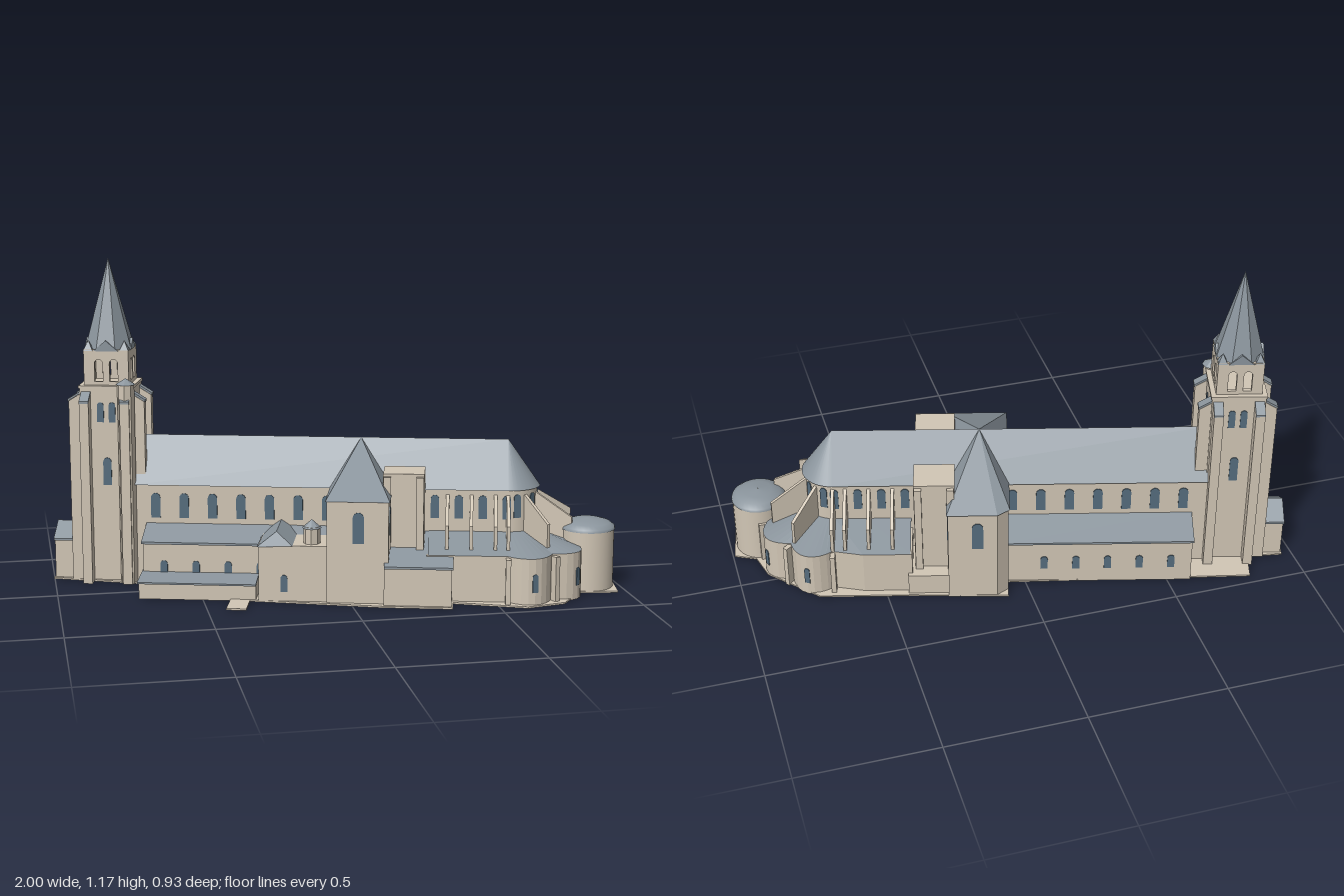
import * as THREE from 'three';
import { ConvexGeometry } from 'three/addons/geometries/ConvexGeometry.js';

const mat = (color) => new THREE.MeshStandardMaterial({ color, flatShading: true, side: THREE.DoubleSide });
const smooth = (color) => new THREE.MeshStandardMaterial({ color, side: THREE.DoubleSide });

export function createModel() {
  const model = new THREE.Group();
  model.name = 'church';
  // The church axis is turned in plan: local x runs east, local z runs south
  const church = new THREE.Group();
  church.name = 'churchBody';
  church.position.set(0.1, 0, -0.015);
  church.rotation.y = -Math.PI / 12;
  model.add(church);

  const stone = mat(0xd2c7b6), slate = mat(0x8b959d), glass = mat(0x566d7e);
  const roundStone = smooth(0xd2c7b6), roundSlate = smooth(0x8b959d);

  const add = (name, geo, material, x = 0, y = 0, z = 0, ry = 0) => {
    const m = new THREE.Mesh(geo, material);
    m.name = name;
    m.position.set(x, y, z);
    m.rotation.y = ry;
    church.add(m);
    return m;
  };
  const box = (name, x0, x1, y0, y1, z0, z1, material = stone) =>
    add(name, new THREE.BoxGeometry(x1 - x0, y1 - y0, z1 - z0), material, (x0 + x1) / 2, (y0 + y1) / 2, (z0 + z1) / 2);
  const hull = (name, pts, material = slate, x = 0, y = 0, z = 0, ry = 0) =>
    add(name, new ConvexGeometry(pts.map((p) => new THREE.Vector3(...p))), material, x, y, z, ry);
  // Profile of [z, y] points run along x
  const along = (name, profile, x0, x1, material) => {
    const s = new THREE.Shape(profile.map(([z, y]) => new THREE.Vector2(-z, y)));
    const g = new THREE.ExtrudeGeometry(s, { depth: x1 - x0, bevelEnabled: false });
    add(name, g.rotateY(Math.PI / 2), material, x0);
  };
  const archPath = (p, x, y, w, h) => {
    p.moveTo(x - w / 2, y);
    p.lineTo(x + w / 2, y);
    p.lineTo(x + w / 2, y + h - w / 2);
    p.absarc(x, y + h - w / 2, w / 2, 0, Math.PI, false);
    p.lineTo(x - w / 2, y);
    return p;
  };
  // Arched window; ry 0 faces south, PI/2 east
  const arch = (name, x, y, z, w, h, ry) => add(name, new THREE.ExtrudeGeometry(
    archPath(new THREE.Shape(), 0, 0, w, h), { depth: 0.003, bevelEnabled: false, curveSegments: 4 }), glass, x, y, z, ry);
  // Surface through rings of points
  const loft = (name, rings, material) => {
    const n = rings[0].length, idx = [];
    for (let r = 0; r < rings.length - 1; r++)
      for (let i = 0; i < n - 1; i++) {
        const a = r * n + i, b = a + n;
        idx.push(a, b, a + 1, a + 1, b, b + 1);
      }
    const g = new THREE.BufferGeometry();
    g.setAttribute('position', new THREE.Float32BufferAttribute(rings.flat(2), 3));
    g.setIndex(idx);
    g.computeVertexNormals();
    add(name, g, material);
  };

  // Ground plate
  const plan = [[-1.12, -0.08], [-0.99, -0.09], [-0.986, -0.203], [-0.1, -0.22], [-0.1, -0.3], [0.25, -0.29],
    [0.58, -0.29], [0.78, -0.16], [0.83, -0.07], [0.912, -0.053], [0.926, 0.114], [0.79, 0.13], [0.73, 0.27], [0.6, 0.335],
    [0.34, 0.3], [0.34, 0.365], [0.1, 0.365], [-0.37, 0.32], [-0.37, 0.43], [-0.44, 0.43], [-0.44, 0.31],
    [-0.765, 0.31], [-0.77, 0.13], [-1.12, 0.08]];
  const plate = new THREE.ExtrudeGeometry(new THREE.Shape(plan.map(([x, z]) => new THREE.Vector2(x, -z))),
    { depth: 0.006, bevelEnabled: false });
  add('groundPlate', plate.rotateX(-Math.PI / 2), stone);

  // Nave and choir
  box('naveAndChoirWalls', -0.83, 0.53, 0, 0.37, -0.105, 0.105);
  along('mainRoof', [[-0.115, 0.365], [0.115, 0.365], [0, 0.53]], -0.82, 0.53, slate);
  for (const s of [-1, 1]) {
    const ry = s > 0 ? 0 : Math.PI;
    for (let i = 0; i < 7; i++) arch('naveWindow', -0.735 + i * 0.103, 0.245, s * 0.105, 0.034, 0.09, ry);
    for (let i = 0; i < 4; i++) arch('choirWindow', 0.27 + i * 0.085, 0.26, s * 0.105, 0.03, 0.085, ry);
    // Side aisles
    along('aisleWalls', [[s * 0.1, 0], [s * 0.215, 0], [s * 0.215, 0.18], [s * 0.1, 0.22]], -0.765, -0.09, stone);
    along('aisleRoof', [[s * 0.1, 0.215], [s * 0.225, 0.175], [s * 0.225, 0.183], [s * 0.1, 0.226]], -0.77, -0.09, slate);
    for (let i = 0; i < 5; i++) arch('aisleWindow', -0.69 + i * 0.115, 0.06, s * 0.215, 0.026, 0.055, ry);
    // Transept arms with half pyramid roofs meeting at the crossing
    const e = s > 0 ? 0.335 : 0.295, c = s > 0 ? -0.1 : -0.06;
    hull('transeptWalls', [0, 0.37].flatMap((y) => [[-0.1, y, 0], [0.115, y, 0], [0.115, y, s * e], [c, y, s * e], [-0.1, y, s * (s > 0 ? e : 0.262)]]), stone);
    hull('transeptRoof', [[0, 0.53, 0], [-0.105, 0.368, 0], [0.12, 0.368, 0], [0.12, 0.368, s * (e + 0.005)],
      [c, 0.368, s * (e + 0.005)], [-0.105, 0.368, s * (s > 0 ? 0.34 : 0.267)]]);
    arch('transeptWindow', 0.01, 0.22, s * e, 0.04, 0.11, ry);
    arch('transeptSideWindow', 0.115, 0.235, s * 0.255, 0.03, 0.1, Math.PI / 2);
    // Choir towers
    box('choirTower', 0.09, 0.235, 0, 0.445, s * 0.16 - 0.065, s * 0.16 + 0.065);
    for (const x of [0.105, 0.22]) box('choirTowerStrip', x - 0.013, x + 0.013, 0, 0.435, s * 0.232 - 0.01, s * 0.232 + 0.01);
  }

  // Southern annexes
  along('lowAnnex', [[0.2, 0], [0.315, 0], [0.315, 0.055], [0.2, 0.068]], -0.765, -0.35, stone);
  along('lowAnnexRoof', [[0.2, 0.068], [0.32, 0.055], [0.32, 0.061], [0.2, 0.075]], -0.77, -0.35, slate);
  box('chapelWalls', -0.34, -0.1, 0, 0.205, 0.1, 0.325);
  hull('chapelRoof', [[-0.345, 0.2, 0.1], [-0.345, 0.2, 0.33], [-0.22, 0.205, 0.33], [-0.22, 0.205, 0.1], [-0.28, 0.245, 0.28], [-0.28, 0.245, 0.1]]);
  arch('chapelWindow', -0.25, 0.04, 0.325, 0.024, 0.06, 0);
  add('stairTurret', new THREE.CylinderGeometry(0.03, 0.03, 0.265, 8), stone, -0.156, 0.1325, 0.275);
  add('stairTurretRoof', new THREE.ConeGeometry(0.035, 0.03, 8), slate, -0.156, 0.275, 0.275);
  along('choirAnnex', [[0.1, 0], [0.355, 0], [0.355, 0.14], [0.1, 0.205]], 0.1, 0.335, stone);
  along('choirAnnexRoof', [[0.1, 0.205], [0.362, 0.138], [0.362, 0.146], [0.1, 0.213]], 0.1, 0.34, slate);
  box('northTerrace', 0.11, 0.26, 0, 0.085, -0.28, -0.1);

  // Apse
  add('apseWall', new THREE.CylinderGeometry(0.105, 0.105, 0.37, 20, 1, false, 0, Math.PI), roundStone, 0.53, 0.185, 0);
  add('apseRoof', new THREE.ConeGeometry(0.115, 0.165, 20, 1, false, 0, Math.PI), roundSlate, 0.53, 0.4475, 0);

  // Ambulatory: straight sides and a ring of shallow rounded chapels
  const cz = 0.022, outer = [], inner = [];
  const point = (x, z, ix, iz) => { outer.push([x, z]); inner.push([ix, iz]); };
  point(0.25, cz + 0.262, 0.25, 0.1);
  point(0.42, cz + 0.262, 0.42, 0.1);
  const N = 40;
  for (let i = 0; i <= N; i++) {
    const a = Math.PI / 2 - (i / N) * Math.PI;
    const r = 0.262 + 0.042 * Math.abs(Math.sin((i / N) * Math.PI * 5));
    point(0.53 + r * Math.cos(a), cz + r * Math.sin(a), 0.53 + 0.1 * Math.cos(a), 0.1 * Math.sin(a));
  }
  point(0.42, cz - 0.285, 0.42, -0.1);
  point(0.25, cz - 0.285, 0.25, -0.1);
  const ring = (pts, y) => pts.map(([x, z]) => [x, y, z]);
  loft('ambulatoryWall', [ring(outer, 0), ring(outer, 0.17)], stone);
  loft('ambulatoryRoof', [ring(outer, 0.17), ring(inner, 0.215)], slate);
  box('ambulatoryEndWall', 0.245, 0.255, 0, 0.17, cz - 0.285, cz + 0.262);

  // Flying buttresses, straight then radial
  const fin = (x, z, ry) => hull('flyingButtress', [-0.006, 0.006].flatMap((t) => [
    [t, 0.17, 0.1], [t, 0.35, 0.1], [t, 0.265, 0.24], [t, 0.17, 0.24]]), stone, x, 0, z, ry);
  for (const s of [0, Math.PI]) for (const x of [0.315, 0.4, 0.485]) fin(x, 0, s);
  for (let i = 0; i < 6; i++) {
    const a = (i / 5) * Math.PI;
    fin(0.53, 0, a);
    // Pier at the joint between chapels
    add('chapelPier', new THREE.BoxGeometry(0.018, 0.165, 0.04), stone,
      0.53 + 0.275 * Math.sin(a), 0.0825, cz + 0.275 * Math.cos(a), a);
    if (i < 5) {
      const m = a + Math.PI / 10;
      arch('apseWindow', 0.53 + 0.105 * Math.sin(m), 0.265, 0.105 * Math.cos(m), 0.026, 0.085, m);
      if (i !== 2) arch('chapelWindow', 0.53 + 0.303 * Math.sin(m), 0.05, cz + 0.303 * Math.cos(m), 0.02, 0.065, m);
    }
  }

  // Round eastern chapel with a low dome
  const lathe = (pts) => new THREE.LatheGeometry(pts.map((p) => new THREE.Vector2(...p)), 32);
  add('eastChapelWall', lathe([[0.096, 0], [0.096, 0.222]]), roundStone, 0.816, 0, 0.03);
  add('eastChapelDome', lathe([[0.099, 0.218], [0.097, 0.228], [0.08, 0.241], [0.05, 0.25], [0.001, 0.255]]), roundSlate, 0.816, 0, 0.03);
  box('eastChapelLink', 0.6, 0.8, 0, 0.175, -0.04, 0.1);

  // West tower
  const tx = -0.91, h = 0.095, b = 0.081;
  box('towerShaft', tx - h, tx + h, 0, 0.72, -h, h);
  box('towerCornice', tx - h - 0.004, tx + h + 0.004, 0.712, 0.722, -h - 0.004, h + 0.004);
  for (let k = 0; k < 4; k++) {
    const ry = k * Math.PI / 2, sn = Math.sin(ry), cs = Math.cos(ry);
    const place = (u, d) => [tx + u * cs + d * sn, -u * sn + d * cs];
    for (const s of [-1, 1]) {
      const [bx, bz] = place(s * 0.073, 0);
      // Corner buttress with sloping slate cap
      const w = 0.017, d = h + 0.042;
      hull('towerButtress', [-w, w].flatMap((t) => [[t, 0, 0.08], [t, 0, d], [t, 0.665, d], [t, 0.7, 0.08]]), stone, bx, 0, bz, ry);
      hull('buttressCap', [-w, w].flatMap((t) => [[t, 0.664, d + 0.003], [t, 0.672, d + 0.003], [t, 0.7, h], [t, 0.692, h]]), slate, bx, 0, bz, ry);
      const [wx, wz] = place(s * 0.021, h);
      arch('towerWindow', wx, 0.59, wz, 0.024, 0.072, ry);
    }
    const [lx, lz] = place(0, h);
    if (k !== 1) arch('towerLowerWindow', lx, 0.36, lz, 0.03, 0.1, ry);
    // Belfry wall with paired openings
    const wall = new THREE.Shape([[-b, 0.72], [b, 0.72], [b, 0.848], [-b, 0.848]].map((p) => new THREE.Vector2(...p)));
    for (const s of [-1, 1]) wall.holes.push(archPath(new THREE.Path(), s * 0.027, 0.735, 0.03, 0.08));
    const [fx, fz] = place(0, b - 0.015);
    add('belfryWall', new THREE.ExtrudeGeometry(wall, { depth: 0.015, bevelEnabled: false, curveSegments: 5 }), stone, fx, 0, fz, ry);
    // Spire gable and corner pinnacle
    hull('spireGable', [[-0.045, 0.845, b + 0.003], [0.045, 0.845, b + 0.003], [0, 0.883, b + 0.003], [0, 0.883, 0.04], [-0.045, 0.845, 0.04], [0.045, 0.845, 0.04]], slate, tx, 0, 0, ry);
    const [px, pz] = place(b - 0.016, b - 0.016);
    add('cornerPinnacle', new THREE.ConeGeometry(0.024, 0.036, 4), slate, px, 0.864, pz, Math.PI / 4);
  }
  box('belfryCeiling', tx - b, tx + b, 0.84, 0.85, -b, b);
  add('spire', new THREE.ConeGeometry(0.09, 0.325, 8), slate, tx, 1.0095, 0, Math.PI / 8);
  add('towerStair', new THREE.CylinderGeometry(0.031, 0.031, 0.73, 8), stone, -0.836, 0.365, 0.105);
  add('towerStairCap', new THREE.ConeGeometry(0.036, 0.022, 8), slate, -0.836, 0.741, 0.105);

  // West porch
  box('porchWalls', -1.115, -0.99, 0, 0.15, -0.072, 0.072);
  along('porchGable', [[-0.072, 0.148], [0.072, 0.148], [0, 0.195]], -1.115, -0.99, stone);
  for (const s of [-1, 1])
    along('porchRoof', [[0, 0.195], [s * 0.08, 0.145], [s * 0.08, 0.153], [0, 0.203]], -1.118, -0.99, slate);
  arch('portal', -1.115, 0.006, 0, 0.07, 0.13, -Math.PI / 2);

  return model;
}
